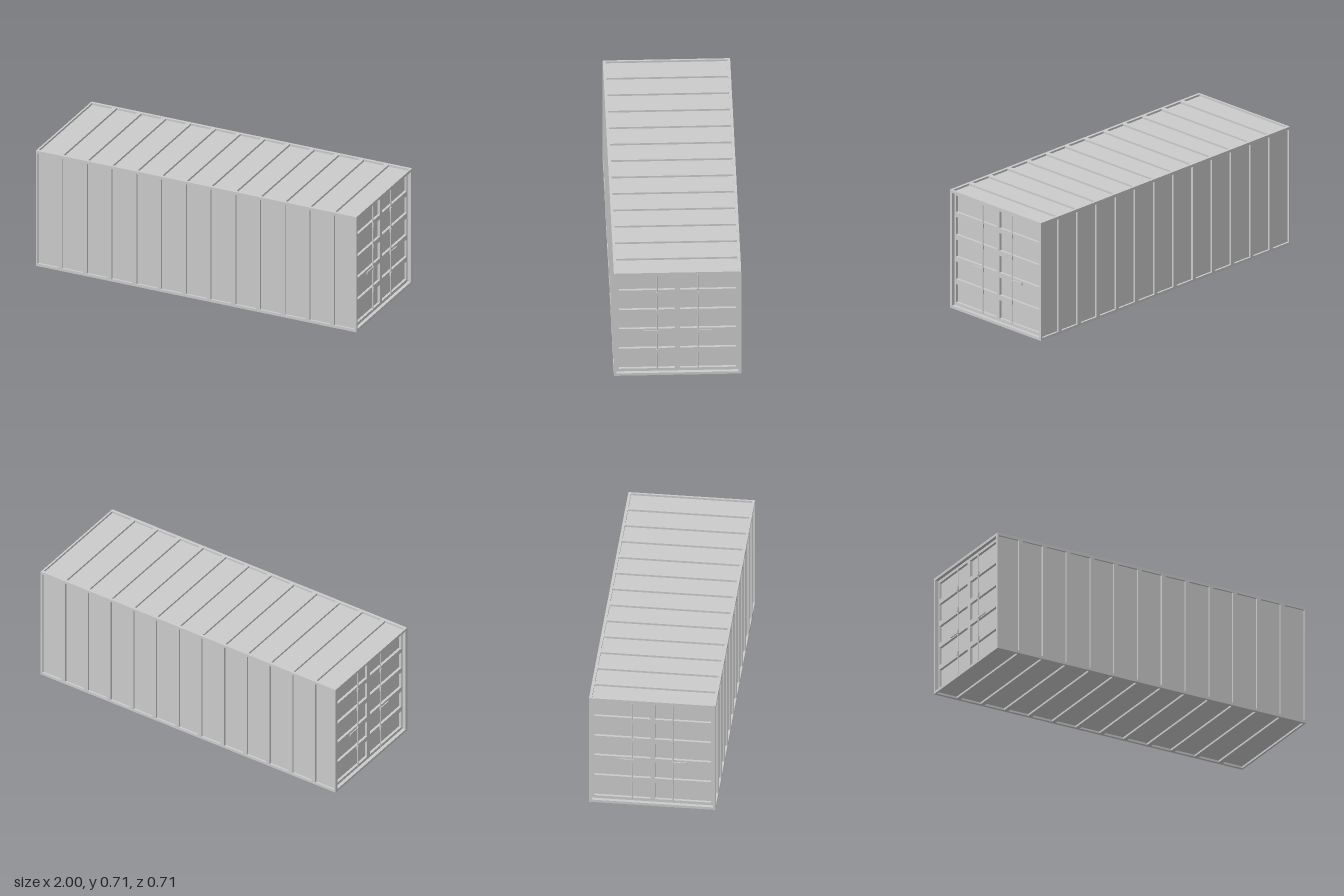
import * as THREE from 'three';

const L = 2, H = 0.715, W = 0.715;
const SKIN = 0.012;          // depth of the recessed wall panels
const RIM = 0.016;           // width of the border around each face
const LEAF_BACK = 0.965, LEAF_FACE = 0.98;
const mat = new THREE.MeshStandardMaterial({ color: 0xcccccc, flatShading: true });
const smooth = new THREE.MeshStandardMaterial({ color: 0xcccccc });

function mesh(name, geometry, x = 0, y = 0, z = 0, material = mat) {
  const m = new THREE.Mesh(geometry, material);
  m.name = name;
  m.position.set(x, y, z);
  return m;
}

// Centred plate with rectangular holes [x0, y0, x1, y1], extruded along +z
function plate(w, h, depth, holes) {
  const loop = (path, [x0, y0, x1, y1]) => {
    path.moveTo(x0, y0);
    path.lineTo(x1, y0);
    path.lineTo(x1, y1);
    path.lineTo(x0, y1);
    path.closePath();
    return path;
  };
  const shape = loop(new THREE.Shape(), [-w / 2, -h / 2, w / 2, h / 2]);
  for (const r of holes) shape.holes.push(loop(new THREE.Path(), r));
  return new THREE.ExtrudeGeometry(shape, { depth, bevelEnabled: false });
}

// Ribbed skin: thirteen openings along the length
function ribbedSkin(height) {
  const holes = [];
  const hh = H / 2 - RIM;
  for (let i = 0; i < 13; i++) {
    const c = (i - 6) * 0.1542;
    holes.push([c - 0.064, -hh, c + 0.064, hh]);
  }
  return plate(L, height, SKIN, holes);
}

// One end with its rim, two door leaves, lock rods and handles; faces +z locally
function doorEnd() {
  const g = new THREE.Group();
  const inner = W / 2 - RIM, outer = W - 2 * SKIN;
  g.add(mesh('doorSurround',
    plate(outer, outer, 1 - LEAF_BACK, [[-inner, -inner, inner, inner]]), 0, 0, LEAF_BACK));

  // Door leaves with five recessed panels each
  const rows = [[0.034, 0.145], [0.175, 0.281], [0.311, 0.414], [0.445, 0.551], [0.581, 0.682]];
  const holes = [];
  for (const [y0, y1] of rows) {
    holes.push([-0.329, y0 - H / 2, -0.013, y1 - H / 2]);
    holes.push([0.013, y0 - H / 2, 0.329, y1 - H / 2]);
  }
  g.add(mesh('doorLeaves',
    plate(2 * inner, 2 * inner, LEAF_FACE - LEAF_BACK, holes), 0, 0, LEAF_BACK));

  for (const s of [-1, 1]) {
    const lock = new THREE.Group();
    lock.name = s < 0 ? 'lockNearFront' : 'lockNearBack';
    const x = s * 0.114;
    lock.add(mesh('lockRod', new THREE.CylinderGeometry(0.004, 0.004, 0.657, 12),
      x, 0.3585 - H / 2, 0.984, smooth));
    for (const y of [0.16, 0.293, 0.43, 0.56]) {
      lock.add(mesh('rodBracket', new THREE.BoxGeometry(0.011, 0.024, 0.012), x, y - H / 2, 0.984));
    }
    // Handle flaring slightly where it meets the rod
    const arm = new THREE.Shape();
    arm.moveTo(0, -0.011);
    arm.quadraticCurveTo(0.004, -0.007, 0.016, -0.007);
    arm.lineTo(0.079, -0.007);
    arm.lineTo(0.079, 0.007);
    arm.lineTo(0.016, 0.007);
    arm.quadraticCurveTo(0.004, 0.007, 0, 0.011);
    const handle = mesh('handle',
      new THREE.ExtrudeGeometry(arm, { depth: 0.006, bevelEnabled: false, curveSegments: 5 }),
      x, 0.293 - H / 2, s > 0 ? 0.982 : 0.988);
    if (s < 0) handle.rotation.y = Math.PI;
    lock.add(handle);
    g.add(lock);
  }
  return g;
}

export function createModel() {
  const model = new THREE.Group();
  model.name = 'shippingContainer';
  const body = new THREE.Group();
  body.name = 'body';
  body.position.y = H / 2;
  model.add(body);

  // Core supplies the floors of all recessed panels
  body.add(mesh('core', new THREE.BoxGeometry(2 * LEAF_BACK, H - 2 * SKIN, W - 2 * SKIN)));

  // Ribbed long faces
  const faces = [
    ['frontWall', 0, H],
    ['roof', -Math.PI / 2, H - 2 * SKIN],
    ['backWall', Math.PI, H],
    ['floor', Math.PI / 2, H - 2 * SKIN],
  ];
  for (const [name, angle, height] of faces) {
    const side = new THREE.Group();
    side.name = name;
    side.rotation.x = angle;
    side.add(mesh(name + 'Ribs', ribbedSkin(height), 0, 0, W / 2 - SKIN));
    body.add(side);
  }

  // Doors at both ends
  for (const s of [1, -1]) {
    const end = doorEnd();
    end.name = s > 0 ? 'leftDoors' : 'rightDoors';
    end.rotation.y = s * Math.PI / 2;
    body.add(end);
  }
  return model;
}
